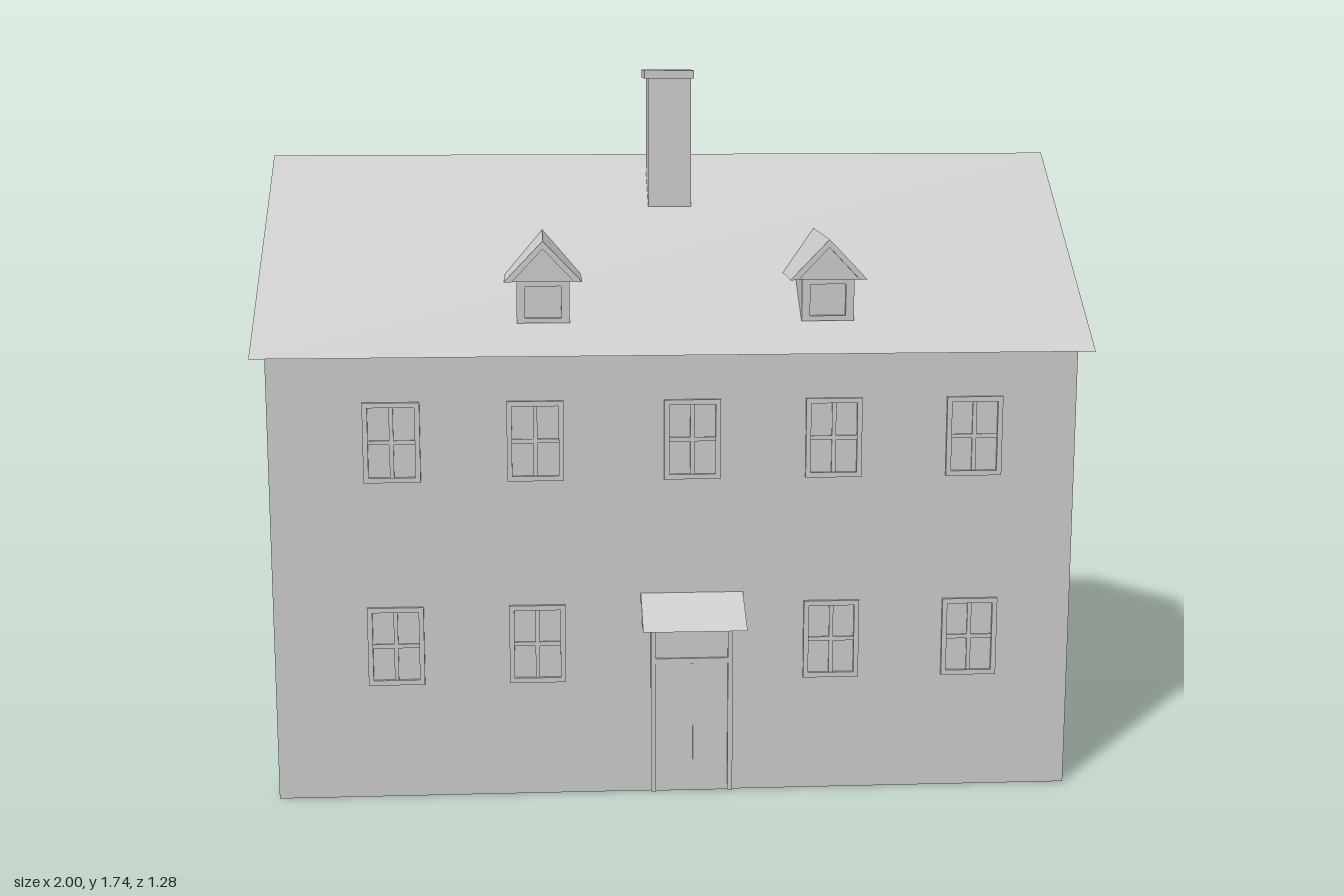
import * as THREE from 'three';

const material = new THREE.MeshStandardMaterial({ color: 0xcccccc, flatShading: true });

function add(parent, name, geometry) {
  const mesh = new THREE.Mesh(geometry, material);
  mesh.name = name;
  parent.add(mesh);
  return mesh;
}

// Box given by its lower and upper corners
function block(parent, name, x0, x1, y0, y1, z0, z1) {
  const g = new THREE.BoxGeometry(x1 - x0, y1 - y0, z1 - z0);
  g.translate((x0 + x1) / 2, (y0 + y1) / 2, (z0 + z1) / 2);
  return add(parent, name, g);
}

const outline = (pts) => new THREE.Shape(pts.map(([a, b]) => new THREE.Vector2(a, b)));

// Profile of [x, y] points extruded from z0 to z1
function prismZ(parent, name, shape, z0, z1) {
  const g = new THREE.ExtrudeGeometry(shape, { depth: z1 - z0, bevelEnabled: false });
  g.translate(0, 0, z0);
  return add(parent, name, g);
}

// Profile of [z, y] points extruded from x0 to x1
function prismX(parent, name, pts, x0, x1) {
  const g = new THREE.ExtrudeGeometry(outline(pts), { depth: x1 - x0, bevelEnabled: false });
  g.rotateY(-Math.PI / 2);
  g.translate(x1, 0, 0);
  return add(parent, name, g);
}

function frameShape(w, h, t) {
  const a = w / 2, b = h / 2;
  const s = outline([[-a, -b], [a, -b], [a, b], [-a, b]]);
  s.holes.push(outline([[-a + t, -b + t], [-a + t, b - t], [a - t, b - t], [a - t, -b + t]]));
  return s;
}

// Sash window with its back on z = 0
function makeWindow() {
  const w = new THREE.Group();
  w.name = 'window';
  prismZ(w, 'windowFrame', frameShape(0.135, 0.193, 0.012), -0.005, 0.008);
  block(w, 'mullion', -0.005, 0.005, -0.09, 0.09, -0.005, 0.004);
  block(w, 'transom', -0.06, 0.06, -0.005, 0.005, -0.005, 0.004);
  return w;
}

// Dormer with its own gable roof, running back into the main roof
function makeDormer() {
  const d = new THREE.Group();
  d.name = 'dormer';
  const wall = outline([[-0.063, 1.155], [0.063, 1.155], [0.063, 1.262], [0, 1.33], [-0.063, 1.262]]);
  wall.holes.push(outline([[-0.043, 1.167], [-0.043, 1.243], [0.043, 1.243], [0.043, 1.167]]));
  prismZ(d, 'dormerWall', wall, 0.2, 0.465);
  block(d, 'dormerPane', -0.05, 0.05, 1.16, 1.25, 0.44, 0.455);
  prismZ(d, 'dormerGable', outline([[-0.085, 1.255], [0.085, 1.255], [0, 1.34]]), 0.15, 0.47);
  prismZ(d, 'dormerRoof', outline([[-0.093, 1.255], [-0.074, 1.255], [0, 1.333],
    [0.074, 1.255], [0.093, 1.255], [0, 1.352]]), 0.15, 0.48);
  return d;
}

export function createModel() {
  const house = new THREE.Group();
  house.name = 'house';

  // Walls and roof
  const front = 0.523, back = -0.606;
  block(house, 'walls', -0.967, 0.965, 0, 1.089, back, front);
  prismX(house, 'roof', [[0.552, 1.088], [-0.641, 1.088], [-0.044, 1.525]], -1, 1);

  // Chimney
  block(house, 'chimney', -0.045, 0.063, 1.38, 1.725, 0.012, 0.123);
  block(house, 'chimneyCap', -0.055, 0.069, 1.723, 1.743, 0, 0.132);

  // Dormers
  for (const x of [-0.314, 0.368]) {
    const dormer = makeDormer();
    dormer.position.x = x;
    house.add(dormer);
  }

  // Windows: two rows in front, the door takes the middle of the lower one
  const centre = 0.038;
  for (const x of [-0.676, -0.336, centre, 0.378, 0.718]) {
    for (const y of x === centre ? [0.881] : [0.881, 0.381]) {
      const w = makeWindow();
      w.position.set(x, y, front);
      house.add(w);
    }
    const rear = makeWindow();
    rear.position.set(x, 0.841, back);
    rear.rotation.y = Math.PI;
    house.add(rear);
  }

  // Double door with a light over it
  const door = new THREE.Group();
  door.name = 'door';
  door.position.set(centre, 0, front);
  for (const s of [-1, 1]) {
    block(door, 'doorJamb', s * 0.094 - 0.006, s * 0.094 + 0.006, 0, 0.42, -0.005, 0.008);
    block(door, 'doorLeaf', s * 0.045 - 0.042, s * 0.045 + 0.042, 0, 0.325, -0.005, 0.003);
  }
  block(door, 'doorHead', -0.1, 0.1, 0.408, 0.42, -0.005, 0.008);
  block(door, 'doorTransom', -0.09, 0.09, 0.325, 0.338, -0.005, 0.006);
  house.add(door);

  // Sloping canopy over the door
  prismX(house, 'canopy', [[front - 0.005, 0.439], [0.643, 0.439], [front - 0.005, 0.505]], -0.086, 0.162);

  return house;
}
